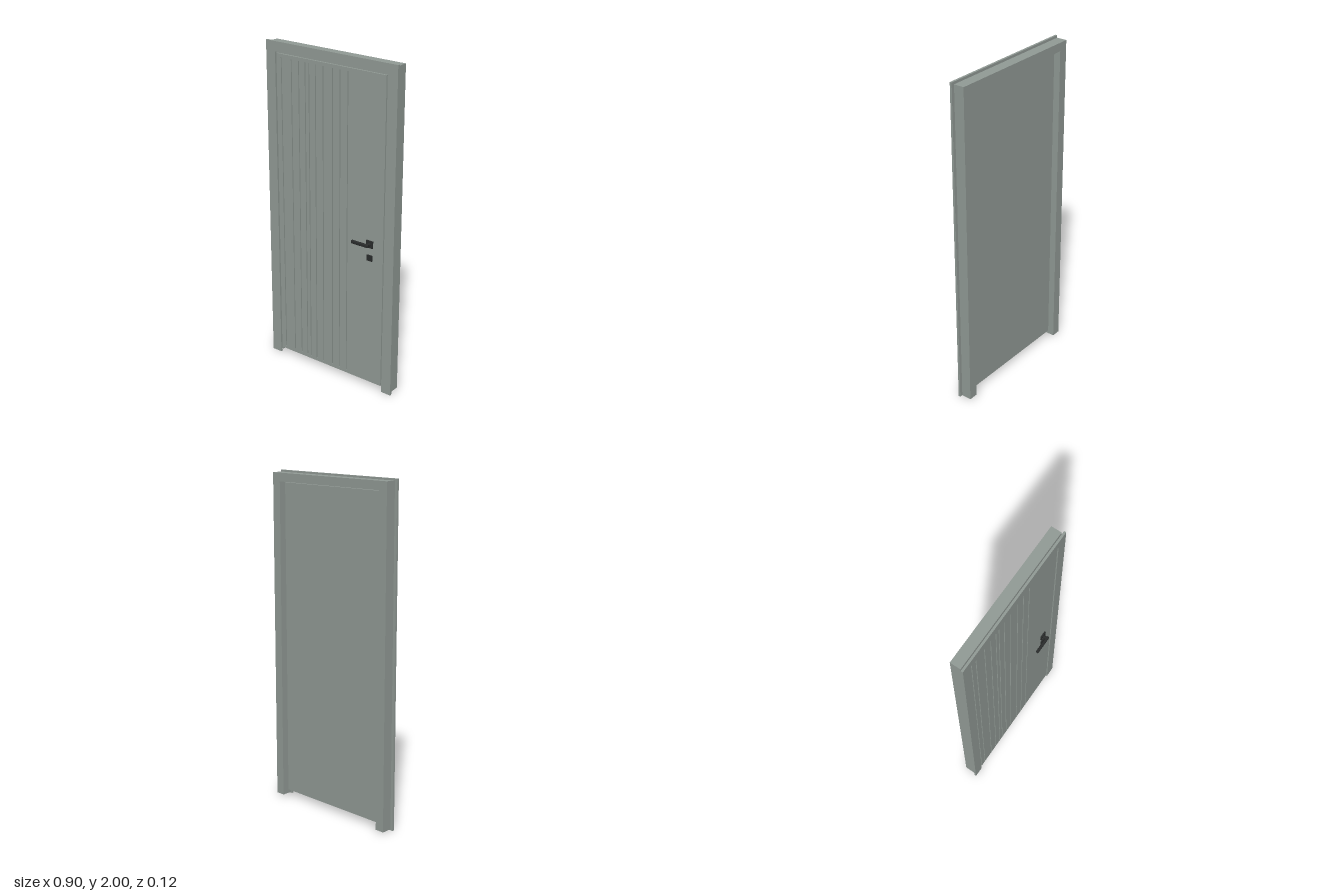
import * as THREE from 'three';
import { RoundedBoxGeometry } from 'three/addons/geometries/RoundedBoxGeometry.js';

const paint = new THREE.MeshStandardMaterial({ color: 0x929b96 });
paint.name = 'greyPaint';
const black = new THREE.MeshStandardMaterial({ color: 0x2a2c2c });
black.name = 'blackMetal';

// Box given by its limits on each axis
function box(name, material, x0, x1, y0, y1, z0, z1) {
  const mesh = new THREE.Mesh(new THREE.BoxGeometry(x1 - x0, y1 - y0, z1 - z0), material);
  mesh.position.set((x0 + x1) / 2, (y0 + y1) / 2, (z0 + z1) / 2);
  mesh.name = name;
  return mesh;
}

function extruded(name, shape, z0, z1) {
  const mesh = new THREE.Mesh(
    new THREE.ExtrudeGeometry(shape, { depth: z1 - z0, bevelEnabled: false }), paint);
  mesh.position.z = z0;
  mesh.name = name;
  return mesh;
}

function polygon(points, Type = THREE.Shape) {
  return new Type(points.map(([x, y]) => new THREE.Vector2(x, y)));
}

// Upside-down U: two posts and a head, open at the floor
function portal(outer, inner, bottom, top, innerTop) {
  return polygon([
    [-outer, bottom], [-inner, bottom], [-inner, innerTop], [inner, innerTop],
    [inner, bottom], [outer, bottom], [outer, top], [-outer, top],
  ]);
}

export function createModel() {
  const model = new THREE.Group();
  model.name = 'door';

  // Fixed surround: deep frame and the separate front trim
  model.add(extruded('frame', portal(0.443, 0.387, 0.01, 1.99, 1.94), -0.062, 0.001));
  model.add(extruded('trim', portal(0.452, 0.387, 0, 2, 1.94), 0.009, 0.022));

  // Door leaf: plain back panel and a grooved front panel
  const W = 0.379, y0 = 0.037, y1 = 1.933;
  model.add(box('backPanel', paint, -W, W, y0, y1, -0.027, 0));
  model.add(box('frontPanelBase', paint, -W, W, y0, y1, 0.009, 0.012));
  const face = polygon([[-W, y0], [W, y0], [W, y1], [-W, y1]]);
  const grooves = [-0.344, -0.271, -0.218, -0.172, -0.145, -0.099, -0.046, 0.021, 0.073, 0.126];
  const half = 0.003;
  for (const x of grooves) {
    face.holes.push(polygon([
      [x - half, 0.057], [x - half, 1.913], [x + half, 1.913], [x + half, 0.057],
    ], THREE.Path));
  }
  model.add(extruded('groovedFrontPanel', face, 0.012, 0.02));

  // Lever handle on a square rosette, with a lock plate below
  const handle = new THREE.Group();
  handle.name = 'handle';
  handle.add(box('rosette', black, 0.267, 0.311, 0.916, 0.959, 0.02, 0.029));
  handle.add(box('lockPlate', black, 0.272, 0.307, 0.834, 0.869, 0.02, 0.027));
  const neck = new THREE.Mesh(new THREE.CylinderGeometry(0.01, 0.01, 0.026, 24), black);
  neck.name = 'neck';
  neck.rotation.x = Math.PI / 2;
  neck.position.set(0.289, 0.937, 0.04);
  const lever = new THREE.Mesh(new RoundedBoxGeometry(0.118, 0.019, 0.016, 3, 0.004), black);
  lever.name = 'lever';
  lever.position.set(0.241, 0.937, 0.053);
  handle.add(neck, lever);
  model.add(handle);

  return model;
}
